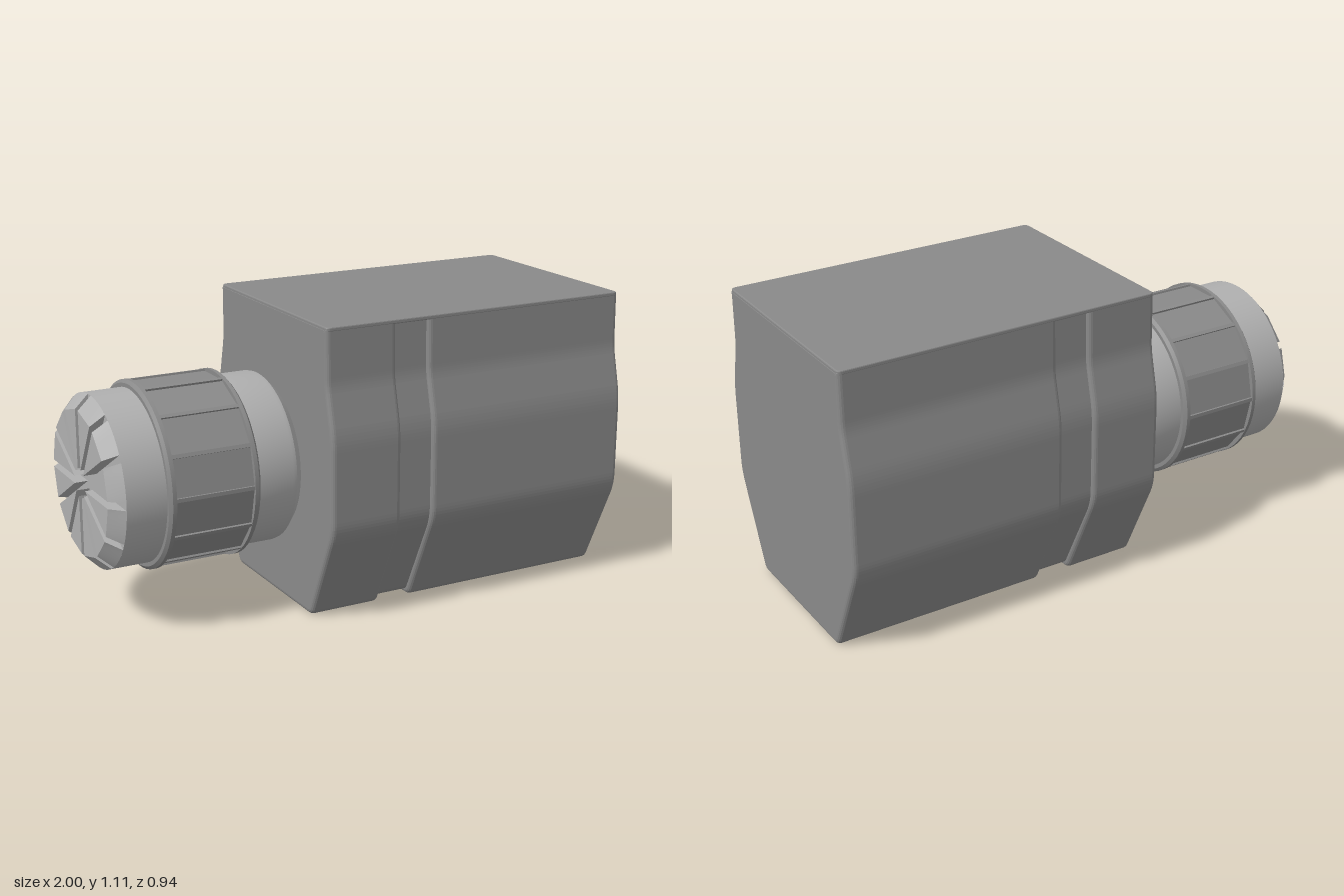
import * as THREE from 'three';
import { toCreasedNormals } from 'three/addons/utils/BufferGeometryUtils.js';

const darkGrey = new THREE.MeshStandardMaterial({ color: 0x8a8a8a });
const lightGrey = new THREE.MeshStandardMaterial({ color: 0xb0b0b0 });

function add(parent, name, geometry, material) {
  const mesh = new THREE.Mesh(geometry, material);
  mesh.name = name;
  parent.add(mesh);
  return mesh;
}

// Closed outline whose corners [x, y, radius] are rounded
function roundedShape(corners) {
  const shape = new THREE.Shape();
  corners.forEach(([x, y, r], i) => {
    const p = new THREE.Vector2(x, y);
    const towards = (c) => new THREE.Vector2(c[0], c[1]).sub(p).setLength(r).add(p);
    const a = towards(corners.at(i - 1));
    const b = towards(corners[(i + 1) % corners.length]);
    if (i === 0) shape.moveTo(a.x, a.y);
    else shape.lineTo(a.x, a.y);
    shape.quadraticCurveTo(x, y, b.x, b.y);
  });
  shape.closePath();
  return shape;
}

// Hood section between two x positions, optionally shrunk by an inset
function hoodSection(x0, x1, inset, bevel) {
  const bottom = 0.003 + inset;
  const half = [
    [0.305, bottom, 0.025],
    [0.47, 0.36, 0.05],
    [0.47, 0.72, 0.05],
    [0.427, 0.9, 0.03],
    [0.423, 1.11, 0.01],
  ].map(([z, y, r]) => [z - inset, y, r]);
  const mirrored = half.map(([z, y, r]) => [-z, y, r]).reverse();
  const geometry = new THREE.ExtrudeGeometry(roundedShape([...half, ...mirrored]), {
    depth: x1 - x0 - 2 * bevel,
    bevelEnabled: bevel > 0,
    bevelThickness: bevel,
    bevelSize: bevel,
    bevelOffset: -bevel,
    bevelSegments: 4,
    curveSegments: 8,
  });
  geometry.rotateY(Math.PI / 2);
  geometry.translate(x0 + bevel, 0, 0);
  return geometry;
}

// Plate closing the top of the hood, with rounded corners
function topPlate() {
  const x0 = -0.251, x1 = 0.996, z = 0.424, r = 0.02;
  const shape = roundedShape([[x0, -z, r], [x1, -z, r], [x1, z, r], [x0, z, r]]);
  const geometry = new THREE.ExtrudeGeometry(shape, {
    depth: 0.008,
    bevelThickness: 0.004,
    bevelSize: 0.004,
    bevelOffset: -0.004,
    bevelSegments: 2,
    curveSegments: 6,
  });
  geometry.rotateX(-Math.PI / 2);
  geometry.translate(0, 1.099, 0);
  return geometry;
}

// Turned part from [radius, distance along the axis] points
function turned(points) {
  const profile = points.map(([r, h]) => new THREE.Vector2(r, h));
  return toCreasedNormals(new THREE.LatheGeometry(profile, 56), 0.4);
}

// One clamping finger: a sector with a flat chamfer on its outer rim
function finger(count) {
  const gap = 0.014, outer = 0.32, depth = 0.05, tip = 0.265;
  const halfAngle = Math.PI / count;
  const edge = halfAngle - Math.asin(gap / outer);
  const shape = new THREE.Shape();
  shape.moveTo(gap / Math.sin(halfAngle), 0);
  for (let i = 0; i <= 6; i++) {
    const a = -edge + (2 * edge * i) / 6;
    shape.lineTo(outer * Math.cos(a), outer * Math.sin(a));
  }
  shape.closePath();
  const geometry = new THREE.ExtrudeGeometry(shape, { depth, bevelEnabled: false });
  const p = geometry.attributes.position;
  for (let i = 0; i < p.count; i++) {
    const onRim = Math.hypot(p.getX(i), p.getY(i)) > 0.2;
    if (onRim && p.getZ(i) > depth / 2) {
      p.setX(i, tip);
      p.setY(i, (p.getY(i) * tip) / outer);
    }
  }
  geometry.rotateX(-Math.PI / 2);
  return toCreasedNormals(geometry, 0.4);
}

export function createModel() {
  const model = new THREE.Group();
  model.name = 'connectorHood';

  // Hood: two bevelled blocks, a recessed band between them and a flat top
  const hood = new THREE.Group();
  hood.name = 'hood';
  model.add(hood);
  add(hood, 'rearBlock', hoodSection(-0.253, 0.03, 0, 0.018), darkGrey);
  add(hood, 'recessedBand', hoodSection(0.01, 0.18, 0.016, 0), darkGrey);
  add(hood, 'frontBlock', hoodSection(0.16, 0.998, 0, 0.018), darkGrey);
  add(hood, 'topPlate', topPlate(), darkGrey);

  // Cable gland, built along +y and turned to point to -x
  const gland = new THREE.Group();
  gland.name = 'cableGland';
  gland.position.set(0, 0.537, -0.032);
  gland.rotation.z = Math.PI / 2;
  model.add(gland);

  add(gland, 'neck', turned([[0.2, 0.23], [0.2, 0.28]]), lightGrey);
  add(gland, 'collar', turned([
    [0, 0.264], [0.285, 0.264], [0.317, 0.295], [0.32, 0.31], [0.32, 0.47],
  ]), lightGrey);
  add(gland, 'cap', turned([[0.32, 0.77], [0.32, 0.95], [0, 0.95]]), lightGrey);

  // Nut: faceted grip between two round rims
  const nut = new THREE.Group();
  nut.name = 'nut';
  gland.add(nut);
  const sides = 14;
  const grip = new THREE.CylinderGeometry(0.339, 0.339, 0.32, sides);
  grip.translate(0, 0.625, 0);
  add(nut, 'grip', toCreasedNormals(grip, 0.1), darkGrey);
  const rim = [[0.3, 0], [0.335, 0], [0.347, 0.01], [0.347, 0.025], [0.3, 0.025]];
  add(nut, 'innerRim', turned(rim.map(([r, h]) => [r, 0.45 + h])), darkGrey);
  add(nut, 'outerRim', turned(rim.map(([r, h]) => [r, 0.8 - h]).reverse()), darkGrey);

  // Thin ridges along the corners of the grip
  const ridge = new THREE.BoxGeometry(0.014, 0.31, 0.02);
  ridge.translate(0, 0.625, 0.335);
  for (let i = 0; i < sides; i++) {
    add(nut, 'ridge', ridge, darkGrey).rotation.y = (i * Math.PI * 2) / sides;
  }

  // Clamping fingers around the cable entry
  const count = 12;
  const fingerGeometry = finger(count);
  for (let i = 0; i < count; i++) {
    const mesh = add(gland, 'clampingFinger', fingerGeometry, lightGrey);
    mesh.position.y = 0.95;
    mesh.rotation.y = ((i + 0.5) * Math.PI * 2) / count;
  }
  return model;
}
